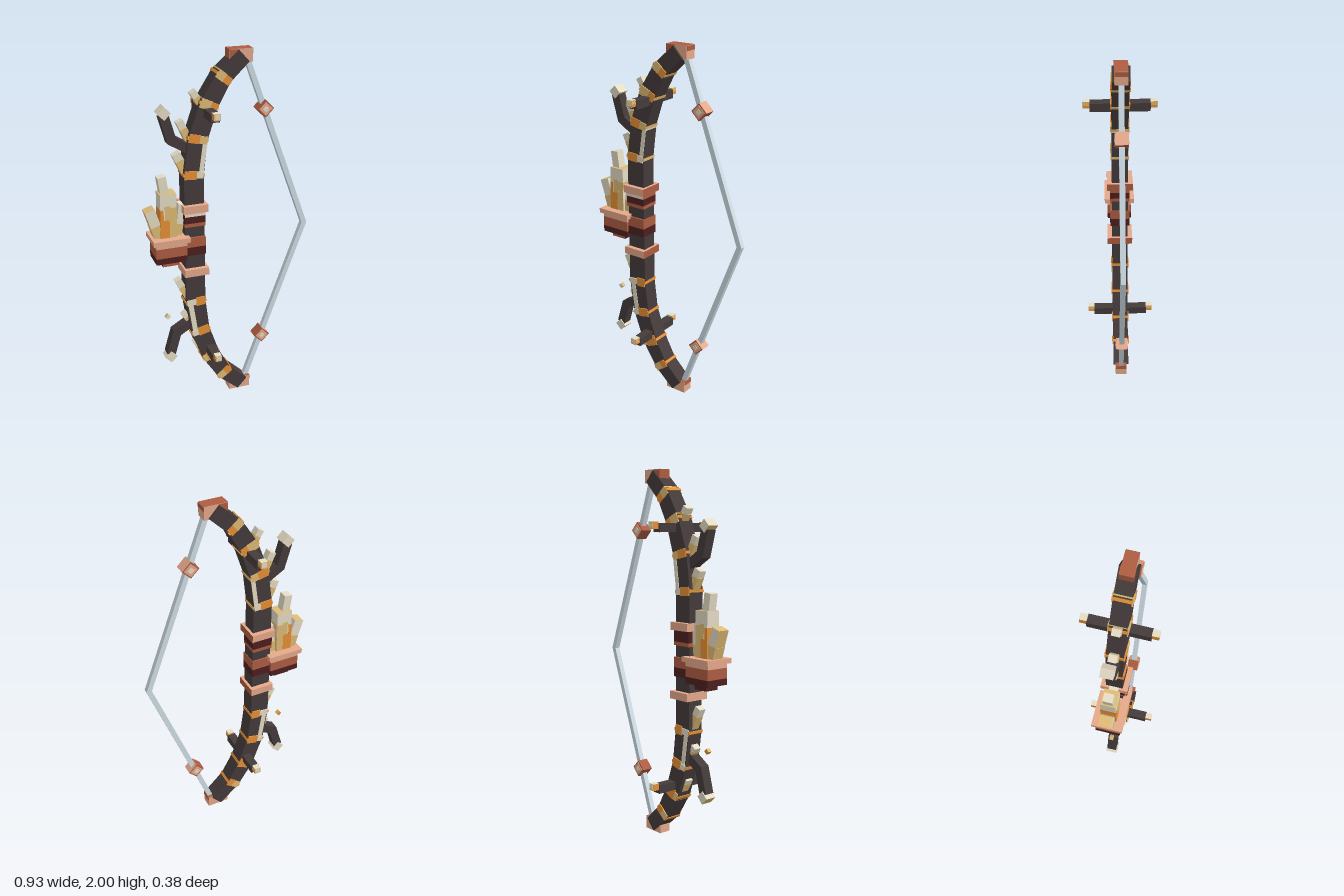
import * as THREE from 'three';

const flat = (name, color) => {
  const m = new THREE.MeshStandardMaterial({ color });
  m.name = name;
  return m;
};

export function createModel() {
  const wood = flat('dark wood', 0x453b3b);
  const cream = flat('cream crystal', 0xe6ddc6);
  const tan = flat('tan crystal', 0xdfbb74);
  const orange = flat('amber', 0xea9236);
  const peach = flat('light copper', 0xe6a98b);
  const copper = flat('copper', 0xae5d42);
  const maroon = flat('dark maroon', 0x4e1f1f);
  const steel = flat('string grey', 0xd0dfe7);

  const model = new THREE.Group();
  model.name = 'bow';

  // Axis-aligned box given by its size and centre
  function box(name, w, h, d, x, y, z, mat, turn = 0) {
    const mesh = new THREE.Mesh(new THREE.BoxGeometry(w, h, d), mat);
    mesh.name = name;
    mesh.position.set(x, y, z);
    mesh.rotation.z = turn;
    model.add(mesh);
  }
  // Box running between two points of the front plane
  function bar(name, a, b, w, d, mat) {
    const dx = b[0] - a[0], dy = b[1] - a[1];
    box(name, w, Math.hypot(dx, dy), d, (a[0] + b[0]) / 2, (a[1] + b[1]) / 2, 0, mat, Math.atan2(-dx, dy));
  }
  // Mitred flat ribbon along a path, extruded in depth
  function ribbon(name, path, widths, depth, mat) {
    const left = [], right = [];
    path.forEach((p, i) => {
      const v = new THREE.Vector2(...p);
      const unit = (a, b) => new THREE.Vector2(b[0] - a[0], b[1] - a[1]).normalize();
      const before = unit(path[Math.max(i - 1, 0)], path[Math.max(i, 1)]);
      const after = i < path.length - 1 ? unit(p, path[i + 1]) : before;
      const t = before.clone().add(after).normalize();
      const n = new THREE.Vector2(-t.y, t.x).multiplyScalar(widths[i] / 2 / t.dot(before));
      left.push(v.clone().add(n));
      right.unshift(v.clone().sub(n));
    });
    const geo = new THREE.ExtrudeGeometry(new THREE.Shape([...left, ...right]), { depth, bevelEnabled: false });
    geo.translate(0, 0, -depth / 2);
    const mesh = new THREE.Mesh(geo, mat);
    mesh.name = name;
    model.add(mesh);
  }

  // Curved body of the bow
  const upper = [[-0.2, 1.37], [-0.175, 1.56], [-0.115, 1.73], [-0.035, 1.865], [0.075, 1.965]];
  const upperW = [0.108, 0.104, 0.1, 0.088, 0.08];
  const flip = ([x, y]) => [x, 2 - y];
  ribbon('limbs', [...upper.map(flip).reverse(), ...upper], [...[...upperW].reverse(), ...upperW], 0.088, wood);

  // Thin bands around the limb joints, with inlays on the broad faces:
  // each inlay is [left edge, right edge] across the limb, height, colour
  const turns = [-0.07, -0.23, -0.43, -0.68];
  const inlays = {
    1: [
      [[-0.5, 0.15, 0.046, orange], [0.15, 0.5, 0.036, cream]],
      [[-0.5, 0.1, 0.046, orange], [0.1, 0.5, 0.04, tan]],
      [[-0.5, 0.1, 0.05, tan], [0.1, 0.5, 0.046, orange]],
      [[-0.5, 0.05, 0.046, tan], [0.05, 0.5, 0.042, orange]],
    ],
    '-1': [
      [[-0.5, 0, 0.034, cream], [0, 0.5, 0.05, orange]],
      [[-0.5, -0.15, 0.034, cream], [-0.15, 0.5, 0.05, orange]],
      [[-0.5, -0.25, 0.046, tan], [-0.25, 0.5, 0.06, orange]],
      [[-0.5, 0.05, 0.042, tan], [0.05, 0.5, 0.046, orange]],
    ],
  };
  for (const s of [1, -1]) {
    for (let i = 0; i < 4; i++) {
      const [x, y] = s > 0 ? upper[i] : flip(upper[i]);
      const t = turns[i] * s, w = upperW[i];
      box('limbBand', w + 0.008, 0.016, 0.098, x, y, 0, s > 0 ? [tan, orange, orange, orange, tan, tan] : orange, t);
      for (const [a, b, h, mat] of inlays[s][i]) {
        const off = w * 0.95 * (a + b) / 2;
        box('bandInlay', w * 0.95 * (b - a), h, 0.1, x + Math.cos(t) * off, y + Math.sin(t) * off, 0, mat, t);
      }
    }
  }
  // Pale inlays along one edge of a limb segment
  bar('edgeInlayUpper', [-0.16, 1.38], [-0.137, 1.54], 0.024, 0.094, cream);
  bar('edgeInlayLower', [-0.233, 0.63], [-0.207, 0.45], 0.028, 0.094, cream);

  // Handle collars and wrapping
  for (const y of [0.82, 1.187]) box('collar', 0.135, 0.042, 0.14, -0.198, y, 0, [copper, peach, peach, copper, peach, peach]);
  [
    [1.155, 0.024, [copper, maroon, maroon, maroon, cream, maroon]], [1.124, 0.038, maroon], [1.095, 0.02, copper],
    [0.995, 0.056, copper], [0.943, 0.048, maroon],
  ].forEach(([y, h, mat]) => box('handleWrap', 0.114, h, 0.108, -0.2, y, 0, mat));

  // Bowl in front of the handle
  box('bowlRim', 0.2, 0.026, 0.166, -0.335, 1.024, 0, peach);
  box('bowlUpper', 0.17, 0.024, 0.134, -0.335, 0.999, 0, peach);
  box('bowlMiddle', 0.17, 0.055, 0.134, -0.335, 0.9595, 0, copper);
  box('bowlLower', 0.17, 0.034, 0.134, -0.335, 0.915, 0, maroon);
  box('bowlFoot', 0.09, 0.03, 0.08, -0.335, 0.884, 0, [maroon, maroon, maroon, maroon, copper, maroon]);

  // Crystal cluster standing in the bowl
  box('crystalMain', 0.088, 0.25, 0.08, -0.34, 1.155, 0, [cream, cream, tan, cream, cream, cream]);
  box('crystalMainAmber', 0.05, 0.1, 0.084, -0.361, 1.087, 0, orange);
  box('crystalMainAmberVein', 0.018, 0.06, 0.084, -0.376, 1.165, 0, orange);
  box('crystalMainTan', 0.042, 0.17, 0.082, -0.317, 1.12, 0, tan);
  box('crystalMainTanVein', 0.03, 0.08, 0.083, -0.345, 1.175, 0, tan);
  bar('crystalTop', [-0.35, 1.25], [-0.367, 1.37], 0.045, 0.05, cream);
  bar('crystalLeft', [-0.385, 1.03], [-0.438, 1.195], 0.055, 0.066, [cream, tan, tan, cream, cream, cream]);
  bar('crystalLeftTan', [-0.386, 1.03], [-0.41, 1.105], 0.057, 0.068, tan);
  bar('crystalRight', [-0.285, 1.03], [-0.262, 1.21], 0.035, 0.05, cream);
  bar('crystalRightTan', [-0.285, 1.03], [-0.276, 1.1], 0.037, 0.052, tan);

  // Bent twigs with a crystal at the tip
  const twig = [[-0.19, 1.49], [-0.308, 1.56], [-0.345, 1.69]];
  for (const path of [twig, twig.map(flip).reverse()]) ribbon('twig', path, [0.05, 0.05, 0.05], 0.054, wood);
  for (const y of [1.705, 0.295]) {
    box('twigTip', 0.05, 0.05, 0.064, -0.345, y, 0, [cream, tan, cream, tan, cream, cream], Math.PI / 4);
  }
  box('looseShard', 0.022, 0.022, 0.022, -0.353, 0.543, 0, [tan, orange, tan, orange, cream, orange], Math.PI / 4);

  // Crystal spikes growing out of the limbs: base, tip, width
  [
    [[-0.13, 1.7], [-0.19, 1.8], 0.035],
    [[-0.2, 1.52], [-0.263, 1.655], 0.038],
    [[-0.225, 1.36], [-0.285, 1.485], 0.046],
    [[-0.22, 0.62], [-0.293, 0.765], 0.038],
    [[-0.21, 0.48], [-0.262, 0.55], 0.035],
    [[-0.15, 0.28], [-0.198, 0.36], 0.035],
  ].forEach(([a, b, w]) => {
    const mid = [a[0] + (b[0] - a[0]) * 0.7, a[1] + (b[1] - a[1]) * 0.7];
    bar('spikeBase', a, mid, w + 0.002, 0.044, tan);
    bar('spikeTip', mid, b, w, 0.042, cream);
  });

  // Pegs passing through the limbs
  for (const [y, ty] of [[1.695, 1.707], [0.315, 0.33]]) {
    box('peg', 0.048, 0.046, 0.31, -0.12, y, 0, wood);
    for (const s of [1, -1]) {
      box('pegTip', 0.036, 0.036, 0.036, -0.12, ty, s * 0.172, [tan, orange, cream, orange, tan, tan]);
      box('pegTipInset', 0.026, 0.026, 0.004, -0.118, ty + 0.002, s * 0.189, cream);
      box('pegTipAmber', 0.002, 0.014, 0.034, -0.102, ty - 0.01, s * 0.172, orange);
    }
  }

  // Copper caps on the limb ends
  box('capUpper', 0.125, 0.07, 0.066, 0.062, 1.965, 0, [peach, copper, copper, peach, peach, peach]);
  box('capUpperSide', 0.05, 0.066, 0.07, 0.026, 1.965, 0, copper);
  box('capLower', 0.125, 0.07, 0.066, 0.062, 0.035, 0, [peach, peach, copper, peach, peach, peach]);
  for (const y of [1.986, 0.058]) box('capEdge', 0.004, 0.024, 0.064, 0.125, y, 0, copper);

  // String drawn to a point, with a bead on each half
  ribbon('string', [[0.1, 0.05], [0.45, 1], [0.1, 1.95]], [0.028, 0.028, 0.028], 0.028, steel);
  for (const y of [1.68, 0.33]) {
    box('bead', 0.066, 0.066, 0.062, 0.2, y, 0, [peach, copper, copper, copper, copper, copper], Math.PI / 4);
    for (const s of [1, -1]) {
      box('beadFace', 0.052, 0.052, 0.004, 0.2, y, s * 0.032, peach, Math.PI / 4);
      box('beadInset', 0.026, 0.026, 0.004, 0.2, y, s * 0.034, cream, Math.PI / 4);
    }
  }
  return model;
}
